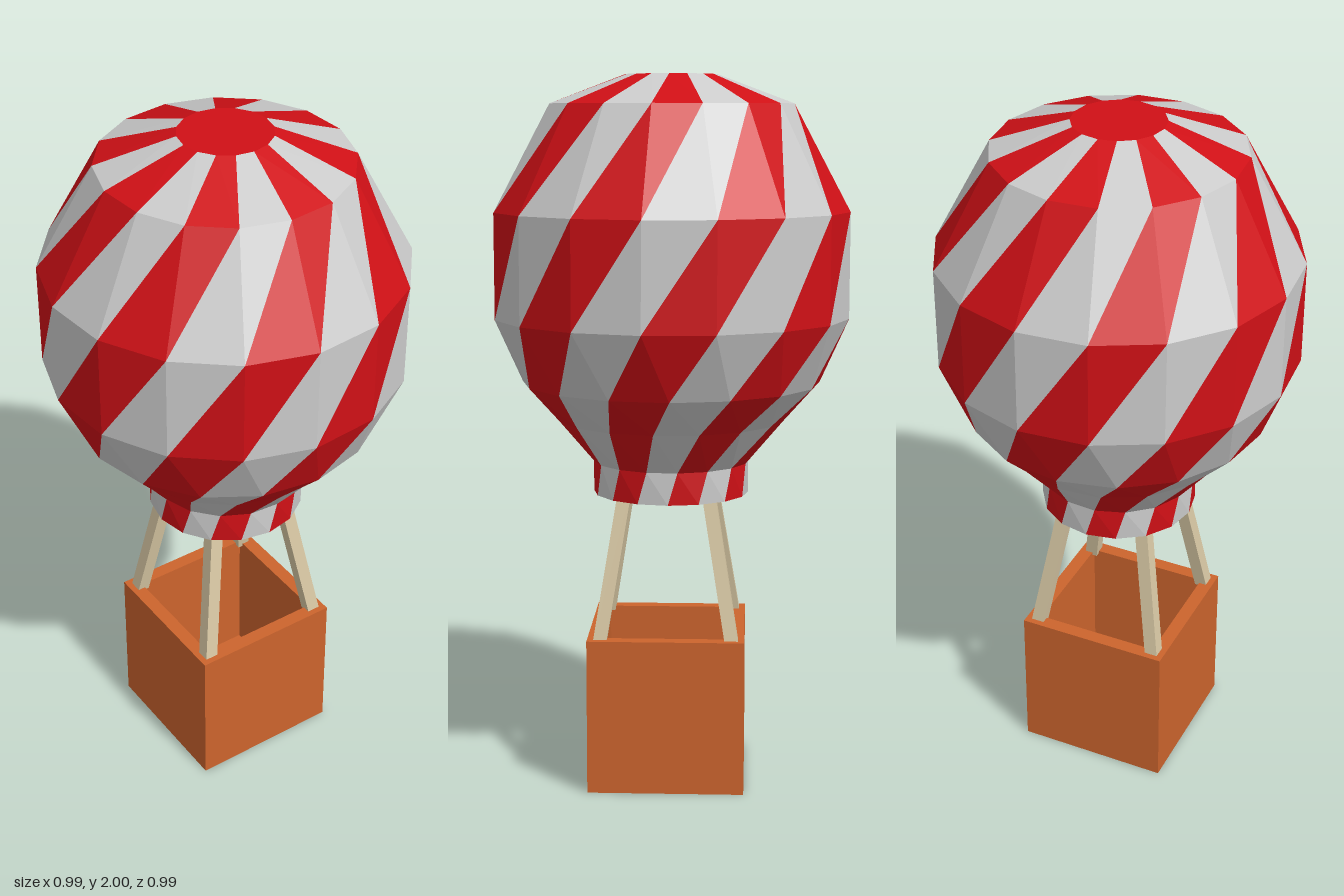
import * as THREE from 'three';
import { mergeGeometries } from 'three/addons/utils/BufferGeometryUtils.js';

const SIDES = 16, TOP = 2, BOTTOM = 0.83, WALL = 0.04;
const BASKET_X = -0.008, BASKET_Z = 0.008;
// Envelope rings from crown to mouth: [radius, height]
const RINGS = [[0.127, 2], [0.342, 1.92], [0.5, 1.625], [0.5, 1.33], [0.42, 1.145], [0.32, 1.04], [0.22, 0.92], [0.22, 0.83]];

const mat = (color) => new THREE.MeshStandardMaterial({ color, flatShading: true });

function addMesh(parent, name, geometry, material) {
  const mesh = new THREE.Mesh(geometry, material);
  mesh.name = name;
  parent.add(mesh);
  return mesh;
}

// Point i of a ring; the whole envelope twists a quarter turn from top to bottom
function ringPoint([r, y, twistY], i) {
  const a = (i / SIDES) * Math.PI * 2 - (Math.PI / 2) * (TOP - twistY) / (TOP - BOTTOM);
  return [r * Math.sin(a), y, r * Math.cos(a)];
}

// Every second gore of the double-walled envelope, starting at the given parity
function goreGeometry(parity) {
  const outer = RINGS.map(([r, y]) => [r, y, y]);
  const inner = RINGS.map(([r, y], k) => [r - WALL, k < 2 ? y - WALL : y, y]).reverse();
  const path = [...outer, ...inner];
  const pos = [];
  for (let i = parity; i < SIDES; i += 2) {
    for (let k = 0; k < path.length - 1; k++) {
      const tl = ringPoint(path[k], i), tr = ringPoint(path[k], i + 1);
      const bl = ringPoint(path[k + 1], i), br = ringPoint(path[k + 1], i + 1);
      pos.push(...tl, ...bl, ...br, ...tl, ...br, ...tr);
    }
  }
  return toGeometry(pos);
}

// Crown disc, closed above and below
function crownGeometry() {
  const pos = [];
  const [r, y] = RINGS[0];
  for (let i = 0; i < SIDES; i++) {
    const up = [r, y, y], down = [r - WALL, y - WALL, y];
    pos.push(0, y, 0, ...ringPoint(up, i), ...ringPoint(up, i + 1));
    pos.push(0, y - WALL, 0, ...ringPoint(down, i + 1), ...ringPoint(down, i));
  }
  return toGeometry(pos);
}

function toGeometry(pos) {
  const g = new THREE.BufferGeometry();
  g.setAttribute('position', new THREE.Float32BufferAttribute(pos, 3));
  g.computeVertexNormals();
  return g;
}

// Open basket: a square frame with a floor
function basketGeometry() {
  const h = 0.22, t = 0.04, height = 0.44;
  const square = (s, Type) => new Type([[-s, -s], [s, -s], [s, s], [-s, s]].map(([x, y]) => new THREE.Vector2(x, y)));
  const frame = square(h, THREE.Shape);
  frame.holes.push(square(h - t, THREE.Path));
  const walls = new THREE.ExtrudeGeometry(frame, { depth: height, bevelEnabled: false });
  walls.rotateX(-Math.PI / 2);
  const floor = new THREE.BoxGeometry(2 * h - 0.002, t, 2 * h - 0.002).toNonIndexed();
  floor.translate(0, t / 2, 0);
  return mergeGeometries([walls, floor]);
}

// Square post leaning inward, with level ends
function postGeometry(sx, sz) {
  const y0 = 0.43, y1 = 0.91, low = 0.185, high = 0.107;
  const g = new THREE.BoxGeometry(0.038, y1 - y0, 0.038);
  g.translate(0, (y0 + y1) / 2, 0);
  const p = g.attributes.position;
  for (let i = 0; i < p.count; i++) {
    const d = THREE.MathUtils.mapLinear(p.getY(i), y0, y1, low, high);
    p.setX(i, p.getX(i) + sx * d);
    p.setZ(i, p.getZ(i) + sz * d);
  }
  g.computeVertexNormals();
  return g;
}

export function createModel() {
  const model = new THREE.Group();
  model.name = 'hotAirBalloon';
  const red = mat(0xd01016), grey = mat(0xcccccc), wicker = mat(0xcc642d), wood = mat(0xd8c8a4);

  // Envelope
  const envelope = new THREE.Group();
  envelope.name = 'envelope';
  addMesh(envelope, 'redStripes', goreGeometry(0), red);
  addMesh(envelope, 'greyStripes', goreGeometry(1), grey);
  addMesh(envelope, 'crown', crownGeometry(), red);
  model.add(envelope);

  // Basket and its four posts
  const carriage = new THREE.Group();
  carriage.name = 'carriage';
  carriage.position.set(BASKET_X, 0, BASKET_Z);
  addMesh(carriage, 'basket', basketGeometry(), wicker);
  for (const [sx, side] of [[1, 'Left'], [-1, 'Right']])
    for (const [sz, end] of [[1, 'front'], [-1, 'back']])
      addMesh(carriage, `${end}${side}Post`, postGeometry(sx, sz), wood);
  model.add(carriage);

  return model;
}
